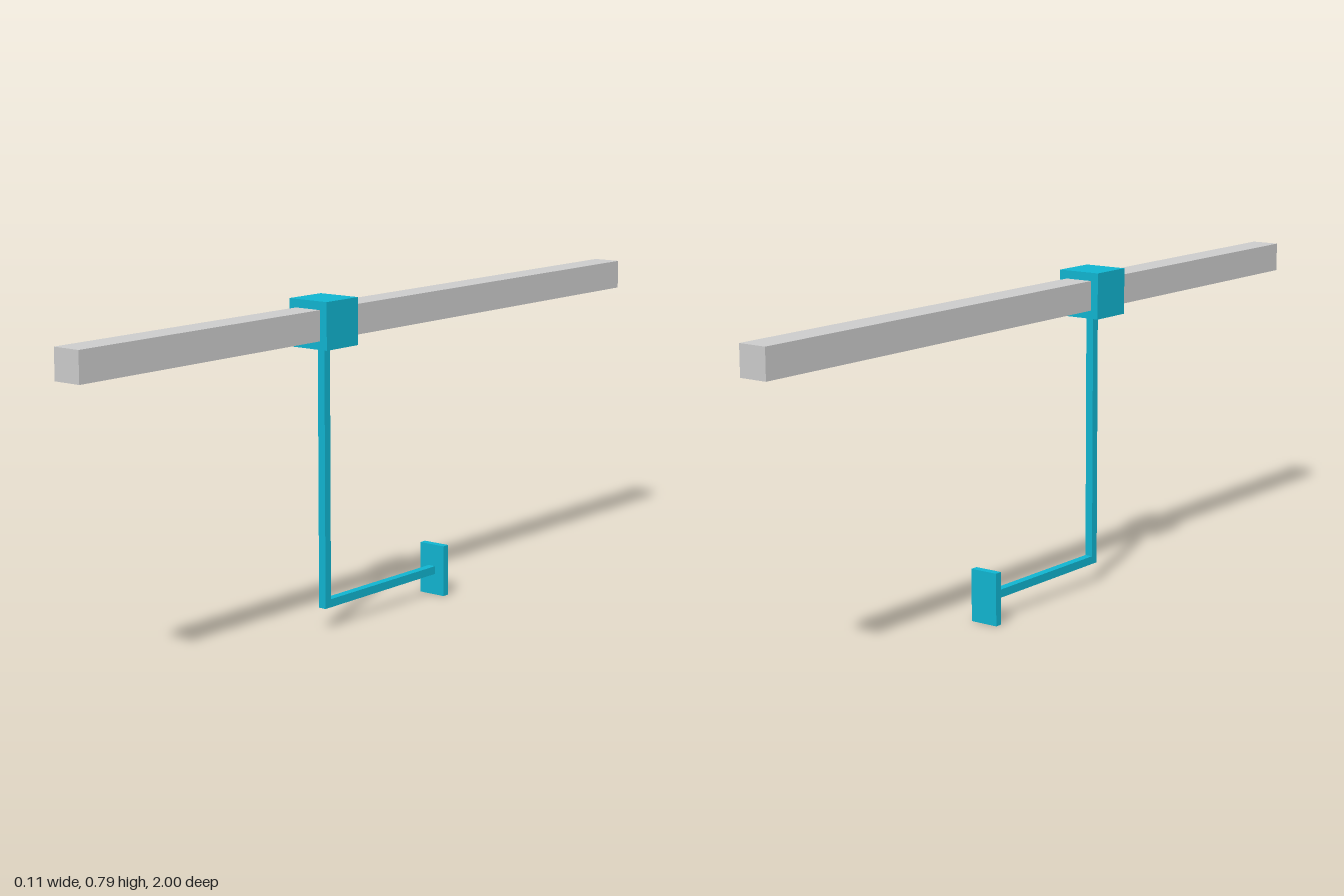
import * as THREE from 'three';

export function createModel() {
  const model = new THREE.Group();
  const grey = new THREE.MeshStandardMaterial({ color: 0xcccccc, flatShading: true });
  const cyan = new THREE.MeshStandardMaterial({ color: 0x10b4d0, flatShading: true });

  const add = (name, geometry, material, x, y, z) => {
    const mesh = new THREE.Mesh(geometry, material);
    mesh.name = name;
    mesh.position.set(x, y, z);
    model.add(mesh);
  };

  const railY = 0.736, sliderZ = 0.188;

  // Long square rail and the block that slides along it
  add('rail', new THREE.BoxGeometry(0.072, 0.072, 2), grey, 0, railY, 0);
  add('slider', new THREE.BoxGeometry(0.112, 0.112, 0.112), cyan, 0, railY, sliderZ);

  // L-shaped square arm: down from the slider, then back to the plate.
  // Shape x is the distance behind the arm's front face, shape y is height.
  const t = 0.02, bottom = 0.053, top = 0.69, reach = 0.43;
  const profile = new THREE.Shape([
    [0, bottom], [reach, bottom], [reach, bottom + t],
    [t, bottom + t], [t, top], [0, top],
  ].map(([x, y]) => new THREE.Vector2(x, y)));
  const arm = new THREE.ExtrudeGeometry(profile, { depth: t, bevelEnabled: false });
  arm.translate(0, 0, -t / 2).rotateY(Math.PI / 2);
  add('arm', arm, cyan, 0, 0, sliderZ + t / 2);

  // Upright plate at the end of the arm
  add('plate', new THREE.BoxGeometry(0.073, 0.128, 0.019), cyan, 0, 0.064, -0.237);

  return model;
}
